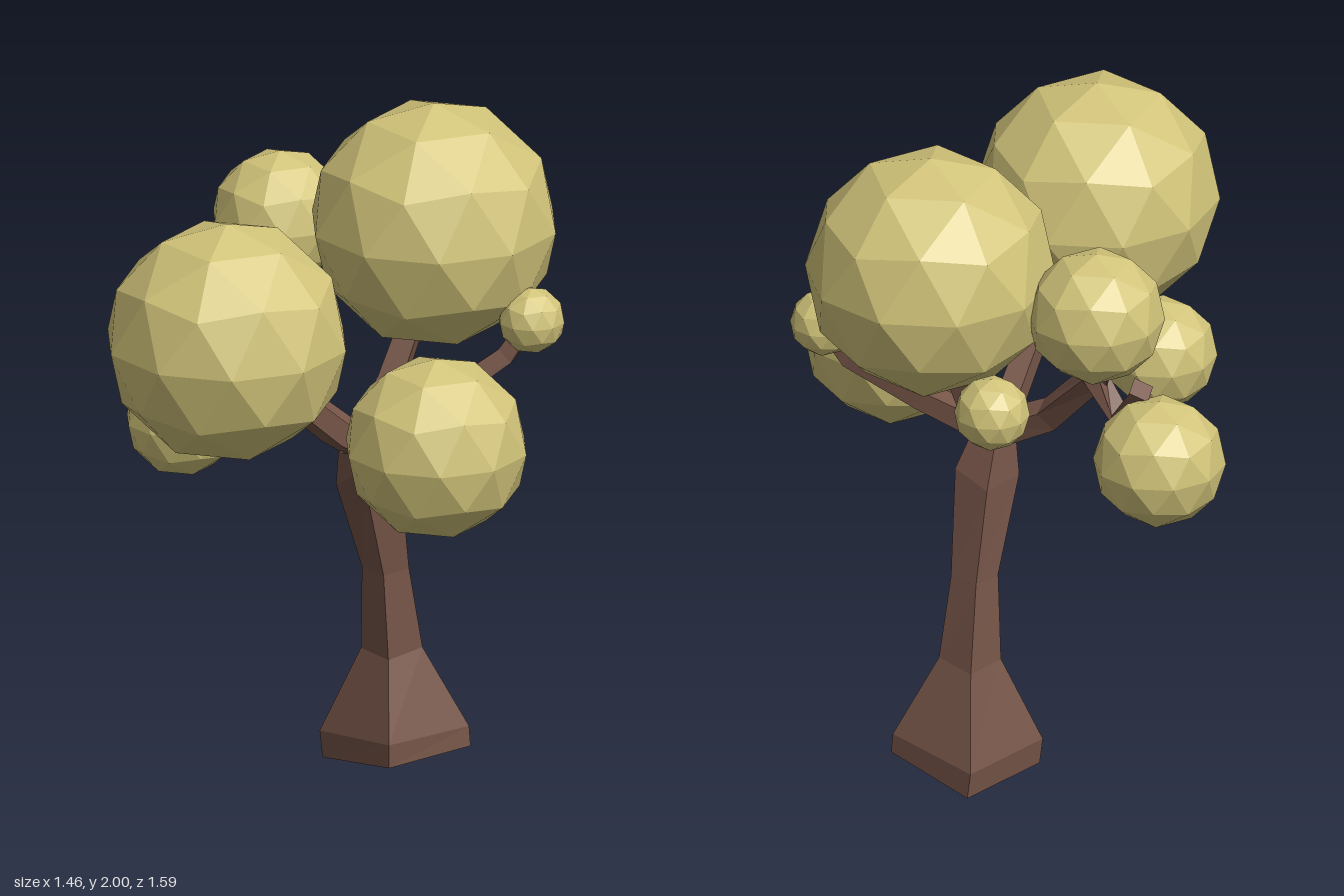
import * as THREE from 'three';

const V = (p) => new THREE.Vector3(...p);

// Joins four-cornered rings into a closed, flat-sided solid
function loft(rings) {
  const pos = [];
  const quad = (a, b, c, d) => [a, b, c, a, c, d].forEach((p) => pos.push(p.x, p.y, p.z));
  for (let i = 0; i < rings.length - 1; i++) {
    const lo = rings[i], hi = rings[i + 1];
    for (let k = 0; k < 4; k++) {
      const n = (k + 1) % 4;
      quad(lo[k], lo[n], hi[n], hi[k]);
    }
  }
  const first = rings[0], last = rings[rings.length - 1];
  quad(first[3], first[2], first[1], first[0]);
  quad(last[0], last[1], last[2], last[3]);
  const g = new THREE.BufferGeometry();
  g.setAttribute('position', new THREE.Float32BufferAttribute(pos, 3));
  g.computeVertexNormals();
  return g;
}

// Square limb following a bent path, tapering from w0 to w1
function limb(path, w0, w1) {
  const pts = path.map(V);
  const last = pts.length - 1;
  const ref = new THREE.Vector3(0.3, 0.1, 1).normalize();
  const across = pts[last].clone().sub(pts[0]).normalize();
  if (Math.abs(across.dot(ref)) > 0.7) ref.set(1, 0, 0);
  return loft(pts.map((p, i) => {
    const t = pts[Math.min(i + 1, last)].clone().sub(pts[Math.max(i - 1, 0)]).normalize();
    const u = ref.clone().cross(t).normalize();
    const v = t.clone().cross(u);
    const h = THREE.MathUtils.lerp(w0, w1, i / last) / 2;
    return [[-1, -1], [1, -1], [1, 1], [-1, 1]].map(([a, b]) =>
      p.clone().addScaledVector(u, a * h).addScaledVector(v, b * h));
  }));
}

export function createModel() {
  const tree = new THREE.Group();
  tree.name = 'tree';
  const bark = new THREE.MeshStandardMaterial({ name: 'bark brown', color: 0x765548, flatShading: true });
  const leaf = new THREE.MeshStandardMaterial({ name: 'leaf yellow green', color: 0xd2c47a, flatShading: true });
  const add = (name, geometry, material) => {
    const mesh = new THREE.Mesh(geometry, material);
    mesh.name = name;
    tree.add(mesh);
    return mesh;
  };

  // Leaning trunk: corners run front left, front right, back right, back left
  const trunk = [
    [[-0.11, 0, -0.24], [0.18, 0.05, -0.15], [0.27, 0.05, -0.44], [-0.01, 0, -0.53]],
    [[-0.12, 0.08, -0.24], [0.18, 0.12, -0.15], [0.265, 0.11, -0.44], [-0.02, 0.08, -0.53]],
    [[-0.01, 0.34, -0.29], [0.115, 0.34, -0.245], [0.15, 0.35, -0.37], [0.03, 0.34, -0.415]],
    [[0.01, 0.6, -0.265], [0.105, 0.6, -0.235], [0.13, 0.6, -0.33], [0.04, 0.6, -0.355]],
    [[-0.01, 0.88, -0.16], [0.105, 0.95, -0.125], [0.15, 0.91, -0.255], [0.03, 0.88, -0.3]],
    [[0.01, 1.06, -0.15], [0.09, 1.06, -0.13], [0.1, 1.06, -0.2], [0.03, 1.06, -0.22]],
  ];
  add('trunk', loft(trunk.map((ring) => ring.map(V))), bark);

  // Branches
  const branches = {
    frontBranch: [[[0.055, 1.02, -0.16], [0.055, 1.08, -0.06], [0.055, 1.2, 0.1], [0.03, 1.4, 0.32]], 0.07, 0.06],
    leftBranch: [[[0.06, 1.03, -0.17], [0.2, 1.02, -0.08], [0.28, 1.08, -0.02], [0.42, 1.15, 0.03]], 0.07, 0.05],
    backBranch: [[[0.06, 1.02, -0.18], [0.1, 1.18, -0.28], [0.14, 1.45, -0.4]], 0.08, 0.06],
    backLeftBranch: [[[0.07, 1.02, -0.18], [0.25, 1.14, -0.28], [0.42, 1.29, -0.4], [0.48, 1.4, -0.44]], 0.07, 0.045],
    rightBranch: [[[0.05, 1.02, -0.17], [-0.11, 1.1, -0.17], [-0.3, 1.31, -0.24], [-0.35, 1.5, -0.37]], 0.08, 0.055],
    rightTwig: [[[-0.28, 1.3, -0.24], [-0.39, 1.2, -0.29], [-0.47, 1.33, -0.33]], 0.055, 0.06],
    frontRightTwig: [[[0.05, 1.2, 0.12], [-0.1, 1.17, 0.2], [-0.24, 1.15, 0.23]], 0.05, 0.04],
  };
  for (const [name, args] of Object.entries(branches)) add(name, limb(...args), bark);

  // Faceted leaf balls with a corner pointing straight up
  const ball = new THREE.IcosahedronGeometry(1, 1);
  ball.rotateZ(Math.atan(2 / (1 + Math.sqrt(5))));
  ball.rotateY(Math.PI);
  [
    ['frontFoliage', 0.01, 1.505, 0.44, 0.357],
    ['backFoliage', 0.15, 1.635, -0.43, 0.365],
    ['leftFoliage', 0.47, 1.15, 0.04, 0.27],
    ['rightLowerFoliage', -0.55, 1.14, -0.38, 0.193],
    ['rightUpperFoliage', -0.35, 1.57, -0.38, 0.2],
    ['frontRightFoliage', -0.28, 1.145, 0.235, 0.166],
    ['backLeftFoliage', 0.485, 1.4, -0.435, 0.098],
    ['rearFoliage', -0.15, 1.35, -0.67, 0.11],
  ].forEach(([name, x, y, z, r]) => {
    const mesh = add(name, ball, leaf);
    mesh.position.set(x, y, z);
    mesh.scale.setScalar(r);
  });
  return tree;
}
